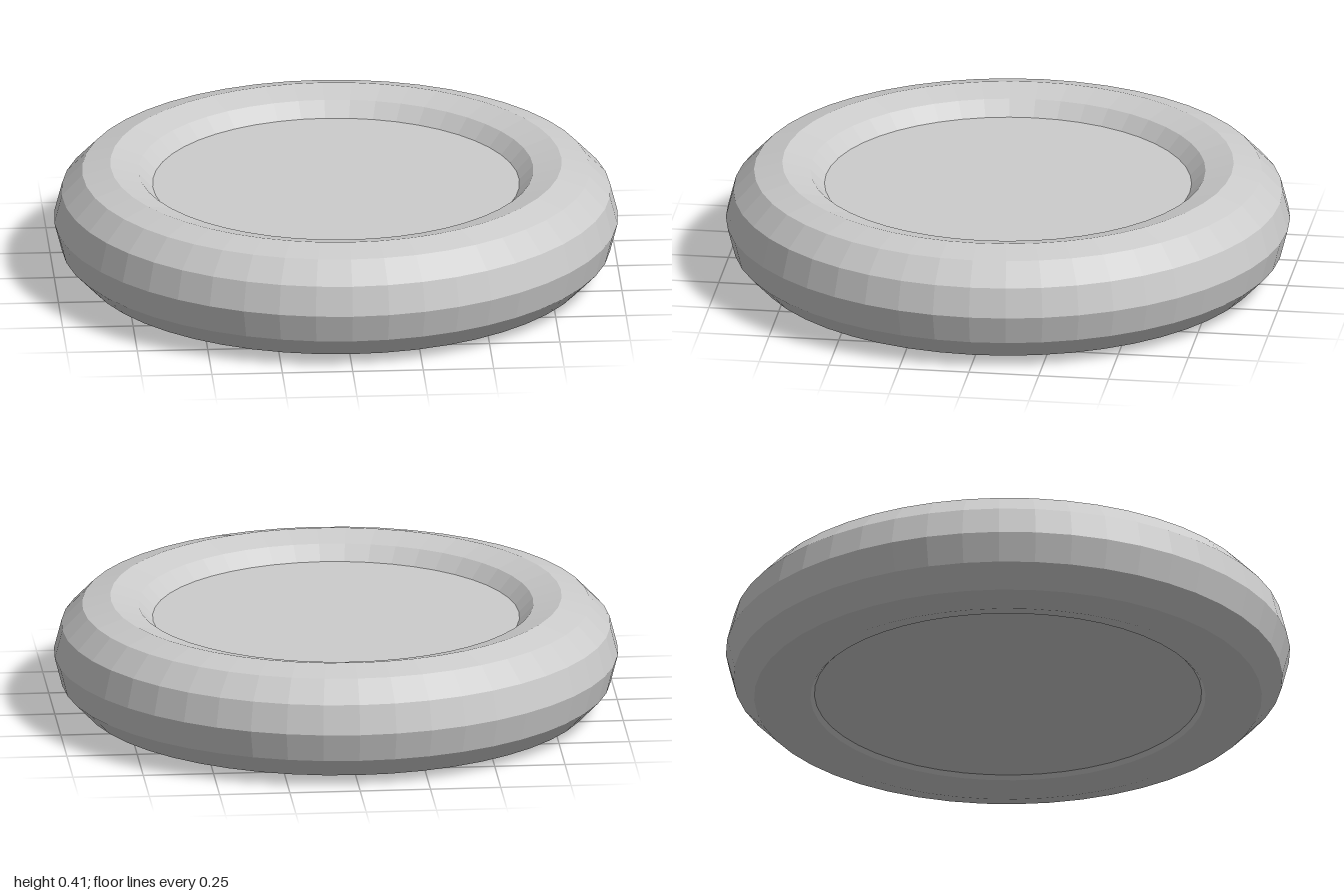
import * as THREE from 'three';

export function createModel() {
  const group = new THREE.Group();
  const material = new THREE.MeshStandardMaterial({ color: 0xcccccc, flatShading: true });
  const midY = 0.207;

  // Faceted outer ring, very slightly taller than round
  const ringGeometry = new THREE.TorusGeometry(0.8, 0.2, 12, 48);
  ringGeometry.rotateX(Math.PI / 2);
  ringGeometry.scale(1, midY / 0.2, 1);
  const ring = new THREE.Mesh(ringGeometry, material);
  ring.name = 'ring';
  ring.position.y = midY;
  group.add(ring);

  // Solid core closing the hole, recessed deeper on top than underneath
  const bottomY = 0.042, topY = 0.335;
  const core = new THREE.Mesh(
    new THREE.CylinderGeometry(0.652, 0.69, topY - bottomY, 48), material);
  core.name = 'core';
  core.position.y = (topY + bottomY) / 2;
  group.add(core);

  return group;
}
